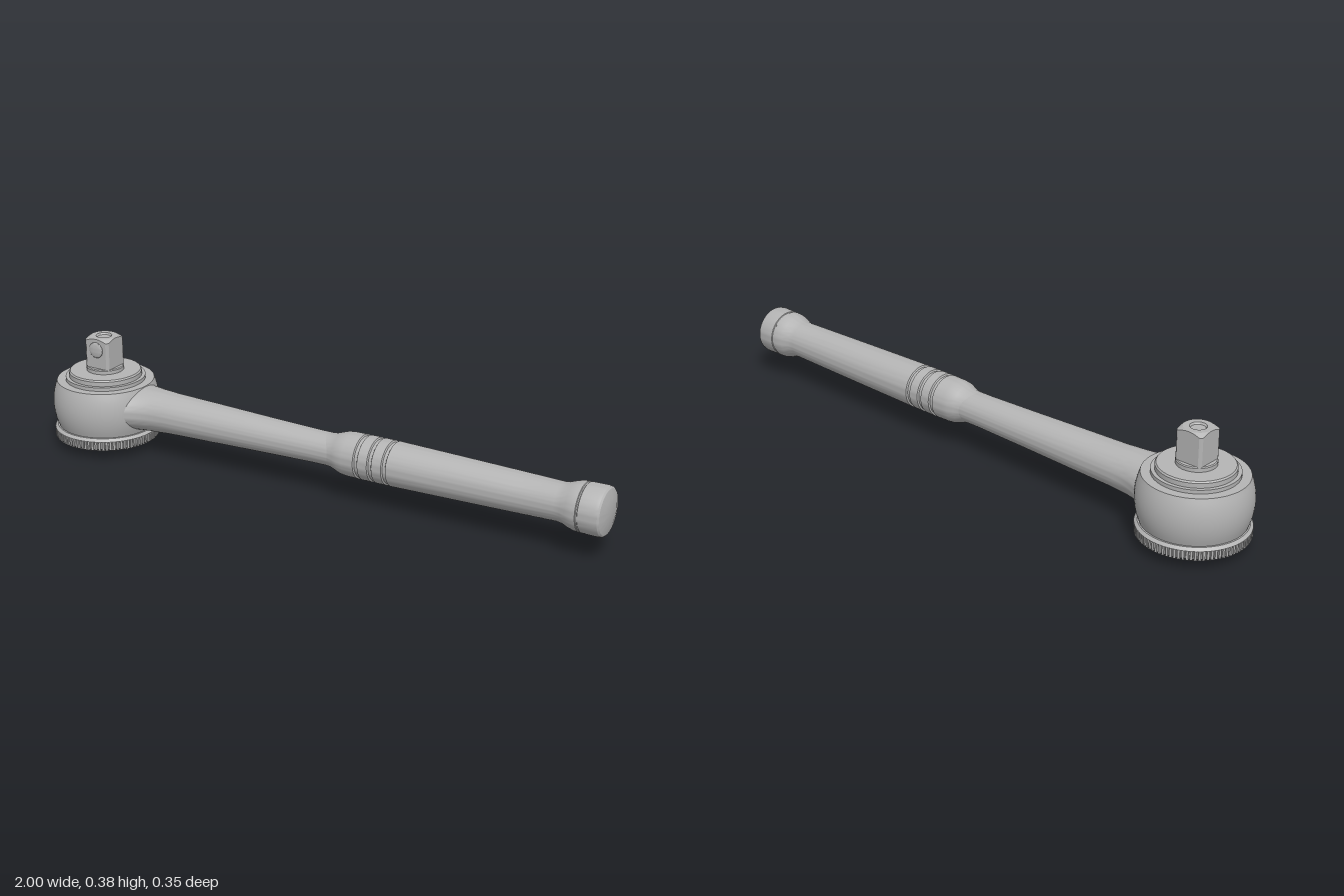
import * as THREE from 'three';
import { toCreasedNormals } from 'three/addons/utils/BufferGeometryUtils.js';

const HEAD_X = -0.825, AXIS_Y = 0.155;

export function createModel() {
  const root = new THREE.Group();
  root.name = 'ratchetWrench';
  const steel = new THREE.MeshStandardMaterial({ color: 0xb4b4b4 });
  steel.name = 'steel';

  const add = (name, geometry, crease = 0.5) => {
    const mesh = new THREE.Mesh(toCreasedNormals(geometry, crease), steel);
    mesh.name = name;
    root.add(mesh);
    return mesh;
  };
  // Profile of [radius, height], listed bottom to top
  const lathe = (pts, segments = 64) =>
    new THREE.LatheGeometry(pts.map(p => new THREE.Vector2(p[0], p[1])), segments);
  const addOnHead = (name, pts) => { add(name, lathe(pts)).position.x = HEAD_X; };
  const moveVertices = (geometry, rule) => {
    const pos = geometry.attributes.position, v = new THREE.Vector3();
    for (let i = 0; i < pos.count; i++) {
      rule(v.fromBufferAttribute(pos, i));
      pos.setXYZ(i, v.x, v.y, v.z);
    }
    return geometry;
  };

  // Barrel-shaped head
  const barrel = [[0, 0.074]];
  for (let i = 0; i <= 10; i++) {
    const t = i / 5 - 1;
    barrel.push([0.177 - 0.015 * t * t, 0.153 + 0.077 * t]);
  }
  barrel.push([0, 0.23]);
  addOnHead('head', barrel);

  // Stepped rings above the head
  addOnHead('outerRing', [[0.133, 0.228], [0.133, 0.242], [0.121, 0.242]]);
  addOnHead('coverRing', [[0.121, 0.24], [0.121, 0.257], [0.117, 0.262], [0, 0.262]]);
  addOnHead('driveCollar', [[0.062, 0.26], [0.062, 0.274], [0.059, 0.277], [0, 0.277]]);

  // Square drive: a turned profile clipped to a square, with a domed, dimpled top
  const drive = lathe([[0.062, 0.27], [0.062, 0.37], [0.045, 0.38], [0.026, 0.38], [0.022, 0.374], [0, 0.372]], 64);
  moveVertices(drive, v => {
    const r = Math.hypot(v.x, v.z);
    if (r < 0.05) return;
    const clipped = Math.min(r, 0.047 * r / Math.max(Math.abs(v.x), Math.abs(v.z)));
    v.x *= clipped / r;
    v.z *= clipped / r;
    if (v.y > 0.3) v.y = 0.38 - (clipped - 0.045) * 0.6;
  });
  add('squareDrive', drive).position.x = HEAD_X;

  // Detent ball in the front face of the drive
  const ball = add('detentBall', new THREE.SphereGeometry(0.027, 24, 16));
  ball.scale.z = 0.22;
  ball.position.set(HEAD_X, 0.341, 0.047);

  // Knurled selector dial
  const teeth = 90, knurl = new THREE.Shape();
  for (let i = 0; i < teeth; i++) {
    [[0, 0.175], [0.55, 0.175], [0.65, 0.17], [0.9, 0.17]].forEach(([f, r], j) => {
      const a = (i + f) / teeth * Math.PI * 2;
      knurl[i + j === 0 ? 'moveTo' : 'lineTo'](r * Math.cos(a), r * Math.sin(a));
    });
  }
  knurl.closePath();
  const dial = new THREE.ExtrudeGeometry(knurl, { depth: 0.028, bevelEnabled: false });
  dial.rotateX(-Math.PI / 2);
  add('dialKnurl', dial).position.set(HEAD_X, 0.038, 0);
  addOnHead('dialRim', [[0.17, 0.064], [0.175, 0.066], [0.166, 0.075], [0, 0.075]]);
  addOnHead('dialBase', [[0, 0.035], [0.173, 0.035], [0.175, 0.039]]);

  // Tapered selector bar under the dial
  const bar = new THREE.BoxGeometry(0.2, 0.037, 0.09);
  moveVertices(bar, v => { if (v.y < 0) v.z *= 0.68; });
  add('selectorBar', bar).position.set(HEAD_X, 0.0185, 0);

  // Turned part lying along x, from [x, radius] pairs
  const turned = (pts) => lathe(pts.map(([x, r]) => [r, x])).rotateZ(-Math.PI / 2);

  // Shank, widening sideways where it joins the head
  const shank = [];
  for (let x = -0.74; x < -0.56; x += 0.02) shank.push([x, 0.075 - (x + 0.74) * 0.03]);
  shank.push([-0.55, 0.068], [-0.4, 0.064], [-0.2, 0.058], [0, 0.053], [0.08, 0.053]);
  const neck = turned(shank);
  moveVertices(neck, v => {
    const t = Math.max(0, (-0.57 - v.x) / 0.17);
    v.z *= 1.04 + 0.85 * t * t;
  });
  add('shank', neck).position.y = AXIS_Y;

  // Grip with three grooves, flared end and domed cap
  const grip = [[0.04, 0.053], [0.065, 0.055], [0.085, 0.062], [0.105, 0.069], [0.125, 0.071]];
  for (const x of [0.175, 0.225, 0.275]) {
    grip.push([x - 0.008, 0.072], [x - 0.005, 0.067], [x + 0.005, 0.067], [x + 0.008, 0.072]);
  }
  grip.push([0.5, 0.068], [0.7, 0.064], [0.84, 0.061], [0.86, 0.064], [0.88, 0.072], [0.9, 0.077],
    [0.915, 0.078], [0.917, 0.076], [0.921, 0.076], [0.923, 0.078],
    [0.975, 0.079], [0.985, 0.077], [0.99, 0.072], [0.997, 0.045], [1, 0]);
  add('grip', turned(grip)).position.y = AXIS_Y;

  return root;
}
